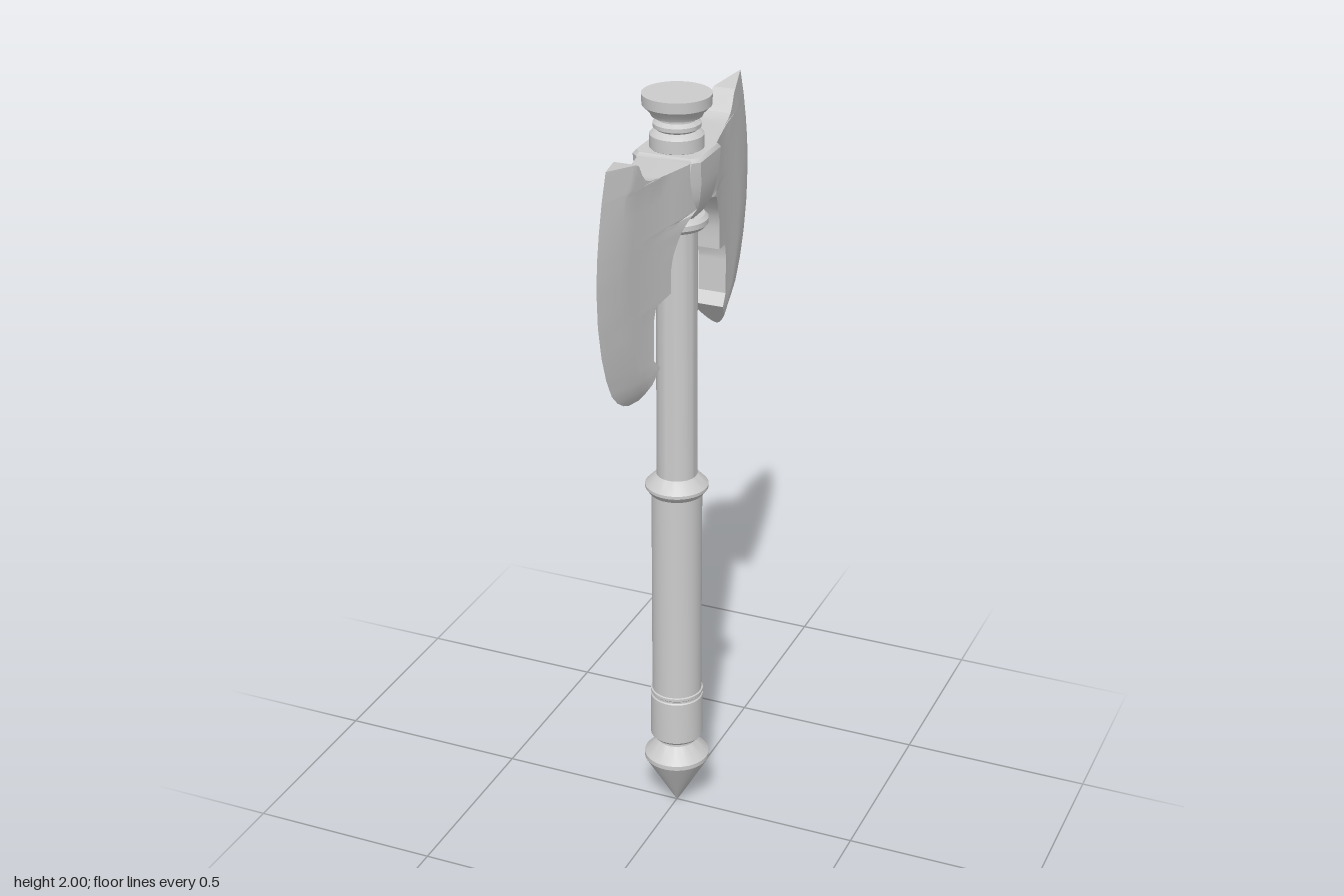
import * as THREE from 'three';
import { toCreasedNormals } from 'three/addons/utils/BufferGeometryUtils.js';

// Linear lookup in a list of [key, value] pairs
function lookup(table, k) {
  if (k <= table[0][0]) return table[0][1];
  for (let i = 1; i < table.length; i++) {
    const [k0, v0] = table[i - 1], [k1, v1] = table[i];
    if (k <= k1) return v0 + (v1 - v0) * (k - k0) / (k1 - k0);
  }
  return table[table.length - 1][1];
}

// Skin over rings of points, listed upwards, each counter-clockwise from above
function loft(rings, crease) {
  const n = rings[0].length, pos = rings.flat(2), index = [];
  for (let r = 0; r < rings.length - 1; r++) {
    for (let i = 0; i < n; i++) {
      const a = r * n + i, b = r * n + (i + 1) % n;
      index.push(a, b, b + n, a, b + n, a + n);
    }
  }
  const top = (rings.length - 1) * n;
  for (let i = 1; i < n - 1; i++) index.push(0, i + 1, i, top, top + i, top + i + 1);
  const g = new THREE.BufferGeometry();
  g.setAttribute('position', new THREE.Float32BufferAttribute(pos, 3));
  g.setIndex(index);
  return toCreasedNormals(g, crease);
}

// Turned part from [radius, height] pairs, listed upwards
function turned(profile) {
  const pts = profile.map(([r, y]) => new THREE.Vector2(r, y));
  return toCreasedNormals(new THREE.LatheGeometry(pts, 40), 0.5);
}

// Blade: height against inner outline, cutting edge; distance from axis against half thickness
const INNER = [[1.307, 0.26], [1.38, 0.2], [1.407, 0.228], [1.508, 0.228], [1.543, 0.217],
  [1.555, 0.153], [1.614, 0.153], [1.645, 0.145], [1.667, 0.132], [1.695, 0.113], [1.715, 0.092],
  [1.726, 0.07], [1.732, 0.04], [1.858, 0.04], [1.861, 0.2], [1.864, 0.237], [1.872, 0.26],
  [1.89, 0.276], [1.915, 0.29], [1.922, 0.3], [1.937, 0.407]];
const EDGE = [[1.307, 0.26], [1.311, 0.293], [1.323, 0.323], [1.345, 0.358], [1.376, 0.39],
  [1.43, 0.42], [1.497, 0.444], [1.58, 0.461], [1.67, 0.466], [1.74, 0.46], [1.8, 0.449],
  [1.87, 0.431], [1.937, 0.407]];
const THICK = [[0.08, 0.07], [0.12, 0.057], [0.17, 0.046], [0.25, 0.034], [0.3, 0.029], [0.38, 0.022], [0.47, 0.02]];

function bladeGeometry() {
  const heights = [...new Set([...INNER, ...EDGE].map(p => p[0]))].sort((a, b) => a - b);
  const rings = heights.map(y => {
    const zi = lookup(INNER, y), zo = lookup(EDGE, y);
    const bevel = Math.max(zi, zo - 0.085);
    const half = [];
    for (let i = 0; i <= 6; i++) half.push(zi + (bevel - zi) * i / 6);
    half.push(zo);
    const h = z => Math.min(lookup(THICK, z), 0.26 * (zo - z));
    return [...half.map(z => [-h(z), y, z]), ...half.reverse().map(z => [h(z), y, z])];
  });
  return loft(rings, 0.45);
}

// Socket: chamfered block that narrows towards its foot
function socketGeometry() {
  const rows = [[1.69, 0.046, 0.048], [1.71, 0.06, 0.06], [1.735, 0.073, 0.072], [1.765, 0.081, 0.077],
    [1.8, 0.086, 0.079], [1.858, 0.088, 0.079], [1.867, 0.081, 0.073]];
  return loft(rows.map(([y, x, z]) => {
    const c = 0.3 * Math.min(x, z) * (1.9 - y) / 0.2 + 0.012;
    return [[x, y, z - c], [x, y, c - z], [x - c, y, -z], [c - x, y, -z],
      [-x, y, c - z], [-x, y, z - c], [c - x, y, z], [x - c, y, z]];
  }), 0.6);
}

export function createModel() {
  const model = new THREE.Group();
  model.name = 'battleAxe';
  const steel = new THREE.MeshStandardMaterial({ color: 0xcccccc });
  steel.name = 'grey steel';
  const add = (name, geometry) => {
    const mesh = new THREE.Mesh(geometry, steel);
    mesh.name = name;
    model.add(mesh);
    return mesh;
  };

  // Handle, from the spike up
  add('pommelSpike', turned([[0, 0], [0.086, 0.148], [0.086, 0.16], [0.05, 0.2], [0.048, 0.225]]));
  add('gripBand', turned([[0, 0.214], [0.062, 0.214], [0.069, 0.222], [0.069, 0.342], [0.066, 0.345],
    [0.066, 0.35], [0.069, 0.353], [0.069, 0.36], [0.064, 0.362]]));
  add('grip', turned([[0.065, 0.355], [0.065, 0.945]]));
  add('gripCollar', turned([[0.06, 0.94], [0.07, 0.945], [0.081, 0.96], [0.081, 0.968], [0.06, 0.99], [0.05, 0.998]]));
  add('shaft', turned([[0.052, 0.985], [0.051, 1.72]]));
  add('headCollar', turned([[0.05, 1.665], [0.068, 1.667], [0.077, 1.677], [0.077, 1.69], [0.068, 1.699], [0.045, 1.702]]));

  // Axe head
  add('socket', socketGeometry());
  add('frontBlade', bladeGeometry());
  add('backBlade', bladeGeometry()).rotation.y = Math.PI;

  // Finial above the socket
  add('finialRings', turned([[0.055, 1.86], [0.066, 1.868], [0.066, 1.9], [0.058, 1.908], [0.05, 1.912],
    [0.058, 1.918], [0.058, 1.928], [0.047, 1.936], [0.047, 1.955]]));
  add('finialCap', turned([[0.045, 1.942], [0.062, 1.946], [0.066, 1.955], [0.084, 1.973], [0.085, 2], [0, 2]]));
  return model;
}
